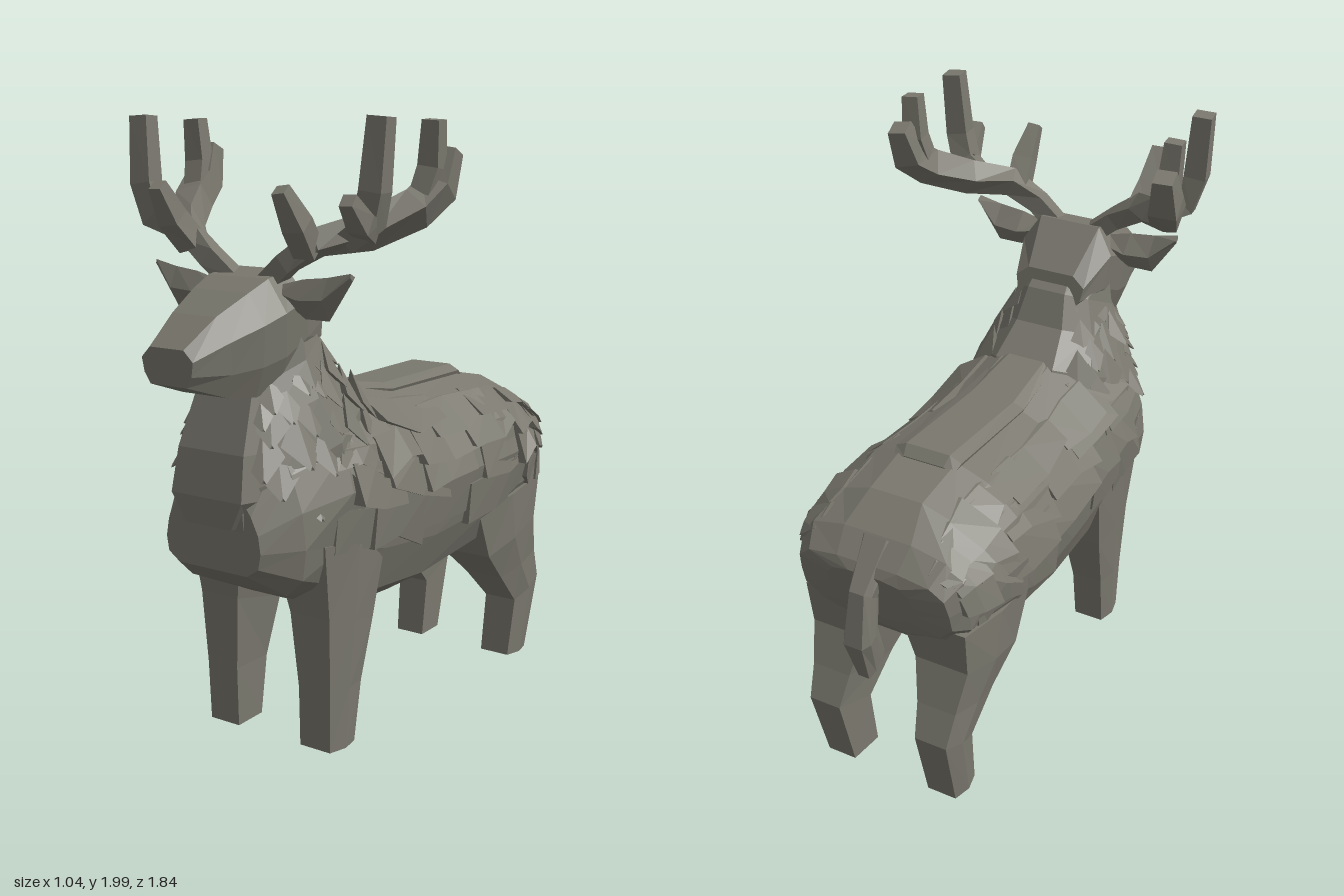
import * as THREE from 'three';

const V = (x, y, z) => new THREE.Vector3(x, y, z);
const material = new THREE.MeshStandardMaterial({ color: 0x7a786e, flatShading: true });

// Small seeded generator for the shaggy coat
let seed = 7;
const rand = () => (seed = (seed * 16807) % 2147483647) / 2147483647;
const vary = (a) => (rand() * 2 - 1) * a;

// Triangles of a closed skin through rings of equal point count, facing outward
function skin(rings) {
  const tris = [];
  const n = rings[0].length;
  for (let i = 0; i < rings.length - 1; i++) {
    for (let j = 0; j < n; j++) {
      const k = (j + 1) % n;
      const [a, b, c, d] = [rings[i][j], rings[i][k], rings[i + 1][k], rings[i + 1][j]];
      tris.push([a, b, c], [a, c, d]);
    }
  }
  const last = rings[rings.length - 1];
  for (let j = 1; j < n - 1; j++) {
    tris.push([rings[0][0], rings[0][j + 1], rings[0][j]], [last[0], last[j], last[j + 1]]);
  }
  const o = rings[0][0];
  let volume = 0;
  for (const [a, b, c] of tris) {
    volume += a.clone().sub(o).dot(b.clone().sub(o).cross(c.clone().sub(o)));
  }
  return volume < 0 ? tris.map(([a, b, c]) => [a, c, b]) : tris;
}

function meshOf(name, tris) {
  const geometry = new THREE.BufferGeometry().setFromPoints(tris.flat());
  geometry.computeVertexNormals();
  const mesh = new THREE.Mesh(geometry, material);
  mesh.name = name;
  return mesh;
}

// Symmetric ring from a lower point to an upper point: [z, y, z, y, half width]
function ring([za, ya, zb, yb, w], profile) {
  const half = profile.map(([t, s]) =>
    V(w * s, THREE.MathUtils.lerp(ya, yb, t), THREE.MathUtils.lerp(za, zb, t)));
  return [...half, ...half.map((p) => V(-p.x, p.y, p.z)).reverse()];
}

// Tapered four-sided limb along a path of [x, y, z, radius]
function branch(path, side) {
  const pts = path.map(([x, y, z]) => V(x * side, y, z));
  return skin(pts.map((p, i) => {
    const dir = pts[Math.min(i + 1, pts.length - 1)].clone().sub(pts[Math.max(i - 1, 0)]).normalize();
    const q = new THREE.Quaternion().setFromUnitVectors(V(0, 1, 0), dir);
    return [0, 1, 2, 3].map((j) => {
      const a = (j + 0.4) * Math.PI / 2;
      return V(Math.cos(a) * path[i][3], 0, Math.sin(a) * path[i][3]).applyQuaternion(q).add(p);
    });
  }));
}

// Leg from rows of [front z, front y, back z, back y, inner x, outer x]
function leg(rows, side) {
  return skin(rows.map(([zf, yf, zb, yb, xi, xo]) => [
    V(xi * side, yf, zf), V((xo - 0.015) * side, yf, zf),
    V(xo * side, (yf + yb) / 2, (zf + zb) / 2),
    V((xo - 0.015) * side, yb, zb), V((xi + 0.01) * side, yb, zb),
  ]));
}

const chestProfile = [[0, 0.72], [0.12, 0.95], [0.32, 1], [0.55, 0.95], [0.78, 0.8], [0.93, 0.65], [1, 0.5]];
const bodyProfile = [[0, 0.3], [0.12, 0.73], [0.32, 0.9], [0.58, 1], [0.78, 0.88], [0.93, 0.6], [1, 0.28]];
const rumpProfile = [[0, 0.35], [0.12, 0.8], [0.32, 1], [0.55, 1], [0.78, 0.97], [0.93, 0.8], [1, 0.4]];
const neckProfile = [[0, 0.44], [0.18, 0.72], [0.52, 1], [0.85, 0.78], [1, 0.4]];
const headProfile = [[0, 0.7], [0.3, 0.92], [0.7, 1], [1, 0.66]];

const bodyRings = [
  ...[[0.74, 0.63, 0.735, 0.87, 0.19], [0.62, 0.55, 0.62, 1.04, 0.27]].map((r) => ring(r, chestProfile)),
  ...[
    [0.45, 0.47, 0.42, 1.13, 0.31], [0.25, 0.385, 0.2, 1.14, 0.32], [-0.05, 0.38, -0.05, 1.09, 0.33],
    [-0.4, 0.44, -0.45, 1.09, 0.35], [-0.56, 0.5, -0.65, 1.05, 0.335],
  ].map((r) => ring(r, bodyProfile)),
  ...[
    [-0.69, 0.56, -0.76, 0.97, 0.3], [-0.755, 0.63, -0.825, 0.9, 0.27], [-0.78, 0.68, -0.84, 0.87, 0.15],
  ].map((r) => ring(r, rumpProfile)),
];

const neckRings = [
  [0.73, 0.66, 0.1, 0.95, 0.29], [0.745, 0.88, 0.17, 1.13, 0.275], [0.715, 1.06, 0.28, 1.23, 0.22],
  [0.67, 1.18, 0.33, 1.34, 0.175], [0.6, 1.36, 0.42, 1.42, 0.15],
].map((r) => ring(r, neckProfile));

// Point on a ring skin at fractional ring u and fractional corner v
function onSkin(rings, u, v) {
  const i = Math.min(Math.floor(u), rings.length - 2);
  const j = Math.floor(v);
  const at = (r) => r[j].clone().lerp(r[(j + 1) % r.length], v - j);
  return at(rings[i]).lerp(at(rings[i + 1]), u - i);
}

// Ragged overlapping slab of fur lying on the flank, thicker at its lower edge
function furSlab(u0, u1, v0, v1, lift, side) {
  return skin([0, 0.5, 1].map((f) => {
    const u = u0 + (u1 - u0) * f;
    const low = onSkin(bodyRings, u, v0 + vary(0.25));
    const high = onSkin(bodyRings, u, v1 + vary(0.1));
    const thick = lift * (1.2 - f * 0.6);
    const quad = [[low, -0.04], [low, thick], [high, thick * 0.3], [high, -0.04]];
    return quad.map(([p, d]) => V((p.x + d) * side, p.y, p.z));
  }));
}

// Pointed lock of mane hanging down and outward
function lock(p, outward, size) {
  const across = V(0, 1, 0).cross(outward).normalize().multiplyScalar(size * 0.6);
  const top = p.clone().add(V(0, size * 0.9, 0)).addScaledVector(outward, -0.03);
  const tip = p.clone().add(V(vary(0.02), -size * 0.7, 0)).addScaledVector(outward, size * 0.5);
  const base = [top, p.clone().add(across), p.clone().addScaledVector(outward, -0.05), p.clone().sub(across)];
  return skin([base, base.map((b) => tip.clone().lerp(b, 0.12))]);
}

export function createModel() {
  seed = 7;
  const model = new THREE.Group();
  model.name = 'stag';
  const add = (name, tris) => model.add(meshOf(name, tris));

  add('body', skin(bodyRings));
  add('neck', skin(neckRings));
  add('head', skin([
    [0.915, 1.225, 0.92, 1.335, 0.1], [0.76, 1.175, 0.8, 1.42, 0.13], [0.66, 1.165, 0.68, 1.48, 0.165],
    [0.56, 1.18, 0.6, 1.515, 0.178], [0.44, 1.24, 0.5, 1.535, 0.17], [0.34, 1.28, 0.36, 1.4, 0.13],
  ].map((r) => ring(r, headProfile))));
  add('tail', skin([
    [-0.72, 0.9, -0.77, 0.97, 0.06], [-0.81, 0.78, -0.885, 0.83, 0.04],
    [-0.83, 0.68, -0.92, 0.65, 0.05], [-0.78, 0.55, -0.87, 0.5, 0.03],
  ].map((r) => ring(r, headProfile))));

  // Raised ridge along the back
  add('spineRidge', skin([
    [0.2, 1.08, 0.22, 1.15, 0.1], [-0.05, 1.05, -0.05, 1.105, 0.12],
    [-0.45, 1.05, -0.46, 1.115, 0.12], [-0.49, 1.04, -0.49, 1.085, 0.11],
  ].map((r) => ring(r, headProfile))));

  // Chest bib: overhanging panel below the throat, rows of [y, z, half width]
  add('chestBib', skin([
    [1.17, 0.675, 0.11], [1.0, 0.74, 0.13], [0.86, 0.765, 0.14], [0.77, 0.755, 0.09],
  ].map(([y, z, w]) => [V(-w, y, z), V(w, y, z), V(w * 1.15, y, z - 0.07), V(-w * 1.15, y, z - 0.07)])));

  for (const side of [1, -1]) {
    const label = side > 0 ? 'left' : 'right';
    add(label + 'FrontLeg', leg([
      [0.48, 0, 0.35, 0, 0.13, 0.265], [0.485, 0.2, 0.32, 0.2, 0.13, 0.27],
      [0.5, 0.45, 0.27, 0.4, 0.11, 0.28], [0.54, 0.7, 0.22, 0.65, 0.06, 0.295],
    ], side));
    add(label + 'HindLeg', leg([
      [-0.62, 0, -0.745, 0, 0.135, 0.265], [-0.65, 0.21, -0.815, 0.27, 0.135, 0.275],
      [-0.53, 0.33, -0.77, 0.38, 0.12, 0.285], [-0.41, 0.44, -0.725, 0.52, 0.09, 0.305],
      [-0.33, 0.62, -0.745, 0.68, 0.05, 0.31],
    ], side));

    // Ear: flattened leaf with a pointed tip
    add(label + 'Ear', skin([[0.13, 1.47, 0.025, 0.03], [0.21, 1.455, 0.06, 0.045],
      [0.3, 1.46, 0.065, 0.04], [0.385, 1.53, 0.012, 0.012]].map(([x, y, h, d]) => [
      V(x * side, y - h, 0.54), V(x * side, y, 0.54 + d), V(x * side, y + h, 0.55), V(x * side, y, 0.54 - d),
    ])));

    // Antler: sweeping beam with upright tines
    const antler = [
      [[0.05, 1.48, 0.54, 0.045], [0.15, 1.56, 0.55, 0.045], [0.25, 1.625, 0.53, 0.05], [0.36, 1.655, 0.43, 0.06],
        [0.445, 1.72, 0.3, 0.065], [0.47, 1.78, 0.22, 0.065], [0.48, 1.89, 0.175, 0.045]],
      [[0.33, 1.64, 0.47, 0.05], [0.42, 1.68, 0.51, 0.055], [0.45, 1.78, 0.52, 0.052], [0.465, 1.99, 0.51, 0.045]],
      [[0.445, 1.72, 0.29, 0.045], [0.465, 1.84, 0.25, 0.048], [0.475, 1.98, 0.255, 0.04]],
      [[0.23, 1.6, 0.55, 0.05], [0.245, 1.68, 0.62, 0.05], [0.24, 1.785, 0.69, 0.03]],
    ];
    if (side > 0) antler.push([[0.41, 1.67, 0.5, 0.05], [0.45, 1.69, 0.59, 0.045], [0.46, 1.76, 0.665, 0.03]]);
    add(label + 'Antler', antler.flatMap((path) => branch(path, side)));

    // Layered fur on the flanks, standing out most on the upper side
    const coat = [];
    for (let row = 0; row < 4; row++) {
      for (let u = 1.7 + (row % 2) * 0.35; u < 6.8; u += 0.85 + vary(0.2)) {
        const v = 2.05 + row * 0.78 + vary(0.12);
        const end = Math.min(u + 1.05 + vary(0.25), 7.6);
        coat.push(...furSlab(u, end, v, v + 0.8, [0.018, 0.03, 0.028, 0.03][row] + vary(0.01), side));
      }
    }
    add(label + 'FlankFur', coat);

    // Mane locks around the neck and shoulders, largest at the bottom
    const mane = [];
    for (let row = 0; row < 6; row++) {
      for (let k = 0; k < 4; k++) {
        const p = onSkin(neckRings, 0.55 + row * 0.42 + vary(0.12), 0.6 + k * 0.78 + (row % 2) * 0.35);
        const outward = V(p.x, 0, (p.z - 0.48) * 0.8).normalize();
        p.x *= side;
        outward.x *= side;
        mane.push(...lock(p, outward, 0.105 - row * 0.008 + vary(0.025)));
      }
    }
    add(label + 'Mane', mane);
  }
  return model;
}
